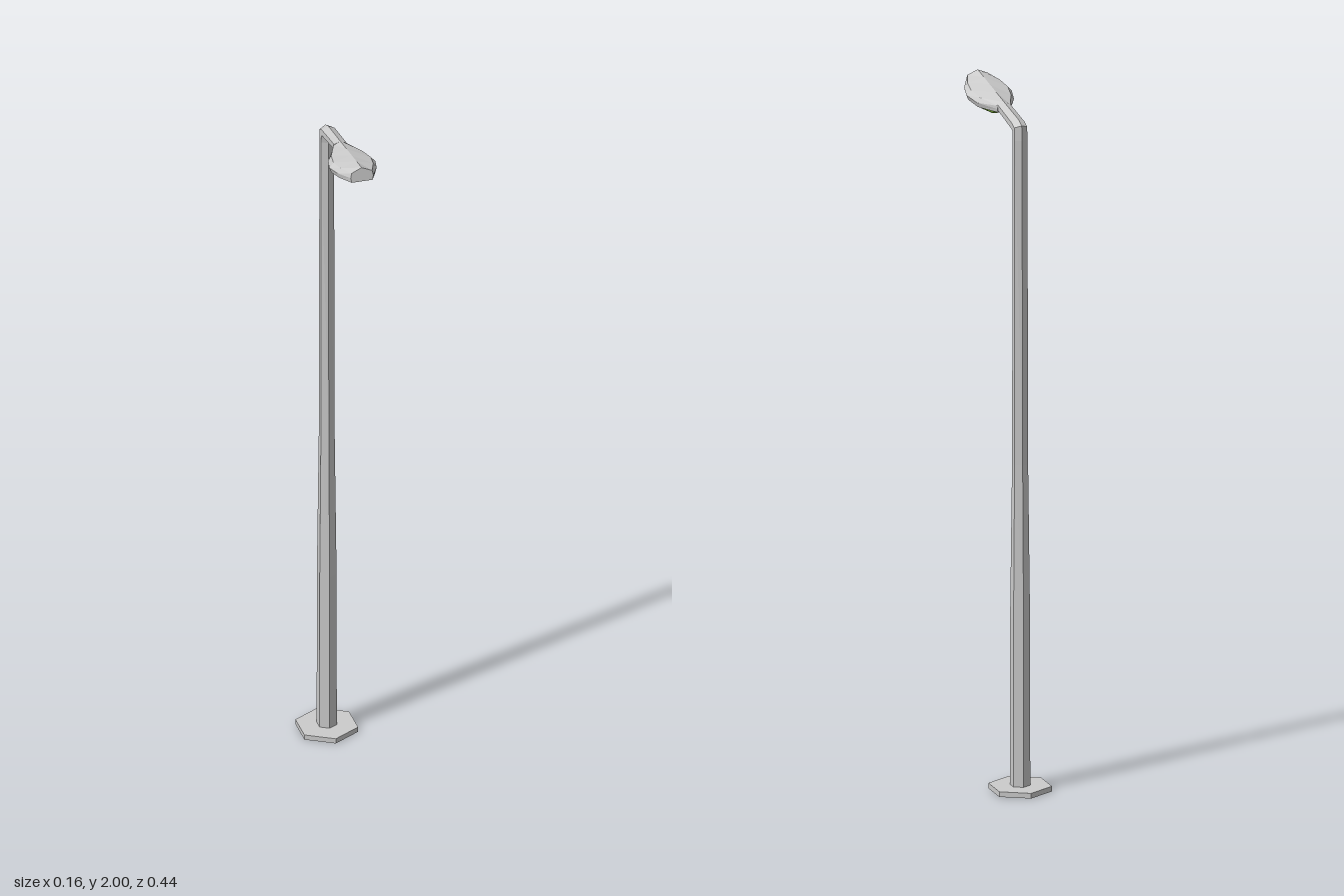
import * as THREE from 'three';

const POLE_Z = -0.134;
const SLOPE = 0.155; // upward tilt of the arm and lamp head
const grey = new THREE.MeshStandardMaterial({ color: 0xcccccc, flatShading: true });
const green = new THREE.MeshStandardMaterial({ color: 0x5f8a2a, flatShading: true });

// Skin a list of equal-sized rings (clockwise seen against the travel direction)
function loft(rings, capStart, capEnd) {
  const pos = [];
  const tri = (...pts) => pts.forEach((p) => pos.push(p.x, p.y, p.z));
  const n = rings[0].length;
  for (let i = 0; i < rings.length - 1; i++) {
    const a = rings[i], b = rings[i + 1];
    for (let k = 0; k < n; k++) {
      const m = (k + 1) % n;
      tri(a[k], b[k], b[m]);
      tri(a[k], b[m], a[m]);
    }
  }
  const cap = (ring, flip) => {
    const c = new THREE.Vector3();
    ring.forEach((p) => c.addScaledVector(p, 1 / n));
    ring.forEach((p, k) => {
      const q = ring[(k + 1) % n];
      if (flip) tri(c, q, p);
      else tri(c, p, q);
    });
  };
  if (capStart) cap(rings[0], false);
  if (capEnd) cap(rings[rings.length - 1], true);
  const geo = new THREE.BufferGeometry();
  geo.setAttribute('position', new THREE.Float32BufferAttribute(pos, 3));
  geo.computeVertexNormals();
  return geo;
}

// Hexagonal ring: half-width w across x, radius r along a direction in the yz plane
function hexRing(y, z, w, r, ny, nz) {
  const l = Math.hypot(ny, nz);
  const across = [0, 1, 1, 0, -1, -1];
  const along = [1, 0.5, -0.5, -1, -0.5, 0.5];
  return across.map((a, k) => new THREE.Vector3(
    a * w, y + along[k] * r * ny / l, z + along[k] * r * nz / l));
}

// Point on the tilted head: sideways x, depth below the ridge, ridge position z
function headPoint(x, depth, z) {
  return new THREE.Vector3(x, 1.967 + SLOPE * z - depth * 0.988, z + depth * 0.153);
}

export function createModel() {
  const model = new THREE.Group();
  const add = (name, geo, mat) => {
    const mesh = new THREE.Mesh(geo, mat);
    mesh.name = name;
    model.add(mesh);
    return mesh;
  };

  // Hexagonal foot plate with a hole under the pole
  const hexPath = (path, r) => {
    for (let k = 0; k < 6; k++) {
      const a = k * Math.PI / 3;
      path[k ? 'lineTo' : 'moveTo'](r * Math.sin(a), r * Math.cos(a));
    }
    path.closePath();
    return path;
  };
  const plate = hexPath(new THREE.Shape(), 0.09);
  plate.holes.push(hexPath(new THREE.Path(), 0.028));
  const plateGeo = new THREE.ExtrudeGeometry(plate, { depth: 0.015, bevelEnabled: false });
  plateGeo.rotateX(-Math.PI / 2);
  add('footPlate', plateGeo, grey).position.z = POLE_Z;

  // Tapered pole that bends forward into the arm
  add('poleAndArm', loft([
    hexRing(0, POLE_Z, 0.025, 0.029, 0, -1),
    hexRing(0.5, POLE_Z, 0.0245, 0.028, 0, -1),
    hexRing(0.95, POLE_Z, 0.02, 0.021, 0, -1),
    hexRing(1.895, POLE_Z, 0.019, 0.0155, 0, -1),
    hexRing(1.925, -0.131, 0.019, 0.021, 0.6, -0.75),
    hexRing(1.931, -0.118, 0.019, 0.018, 0.988, -0.153),
    hexRing(1.952, 0.002, 0.018, 0.015, 0.988, -0.153),
  ], false, true), grey);

  // Lamp head sections: ridge z, half-width, shoulder ratio, depth scale
  const sections = [
    [-0.005, 0.019, 0.95, 0.72],
    [0.063, 0.055, 0.83, 1],
    [0.115, 0.067, 0.81, 1],
    [0.162, 0.057, 0.84, 1],
    [0.212, 0.033, 0.9, 1],
  ];
  add('lampHead', loft(sections.map(([z, w, s, d]) => {
    const half = [[s * w, 0.013], [w, 0.027], [0.92 * w, 0.041]];
    return [
      headPoint(0, 0, z),
      ...half.map(([x, y]) => headPoint(x, y * d, z)),
      ...half.reverse().map(([x, y]) => headPoint(-x, y * d, z)),
    ];
  }), true, true), grey);

  // Green lens set into the underside
  const outline = [[0.018, 0.022], [0.063, 0.046], [0.115, 0.056], [0.162, 0.048], [0.205, 0.027]];
  const lensRing = (scale, depth) => {
    const side = outline.map(([z, w]) => [w * scale, 0.112 + (z - 0.112) * scale]);
    return [
      ...side.map(([x, z]) => headPoint(-x, depth, z)),
      ...side.reverse().map(([x, z]) => headPoint(x, depth, z)),
    ];
  };
  add('lens', loft([lensRing(1, 0.034), lensRing(1, 0.042), lensRing(0.92, 0.046)], false, true), green);

  return model;
}
